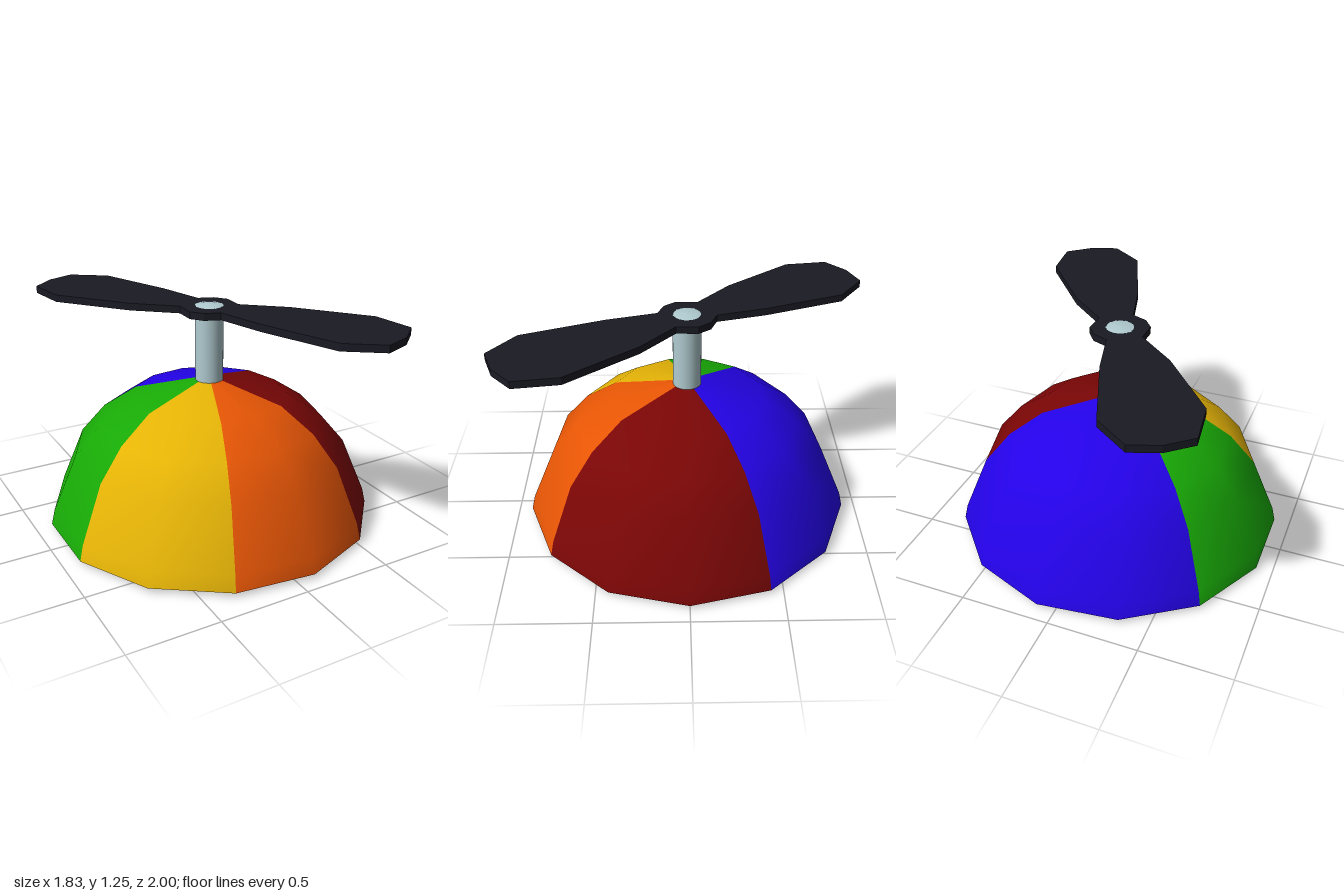
import * as THREE from 'three';

const mat = (name, color) => {
  const m = new THREE.MeshStandardMaterial({ color });
  m.name = name;
  return m;
};

const SIDES = 13;
const STEP = (Math.PI * 2) / SIDES;
const vec = ([x, y]) => new THREE.Vector2(x, y);

// Cap profiles (radius, height); separate strips keep the brim edges sharp
const PROFILES = {
  Outside: [[0.927, 0.025], [0.907, 0.11], [0.771, 0.43], [0.626, 0.6], [0.435, 0.73], [0.07, 0.82], [0, 0.825]],
  Brim: [[0.842, 0], [0.927, 0.025]],
  Lip: [[0.824, 0.03], [0.842, 0]],
  Lining: [[0, 0.735], [0.395, 0.648], [0.562, 0.533], [0.691, 0.383], [0.817, 0.082], [0.824, 0.03]],
};

// One coloured wedge of the cap, covering sides from..to (counted from +x towards +z)
function capPanel(name, material, from, to) {
  const panel = new THREE.Group();
  panel.name = name;
  for (const [part, points] of Object.entries(PROFILES)) {
    const geo = new THREE.LatheGeometry(points.map(vec), to - from, Math.PI / 2 - to * STEP, (to - from) * STEP);
    const mesh = new THREE.Mesh(geo, material);
    mesh.name = name + part;
    panel.add(mesh);
  }
  return panel;
}

export function createModel() {
  const model = new THREE.Group();
  model.name = 'propellerCap';
  model.position.x = -0.013;
  const root = new THREE.Group();
  root.add(model);

  // Cap panels
  const cap = new THREE.Group();
  cap.name = 'cap';
  cap.add(
    capPanel('redPanel', mat('red', 0x7a0606), -1, 2),
    capPanel('orangePanel', mat('orange', 0xe85605), 2, 4),
    capPanel('yellowPanel', mat('yellow', 0xe6b406), 4, 6),
    capPanel('greenPanel', mat('green', 0x18aa06), 6, 8),
    capPanel('bluePanel', mat('blue', 0x2402e8), 8, 12),
  );
  model.add(cap);

  // Shaft with a slightly domed tip
  const metal = mat('pale metal', 0xb0cbd0);
  const shaft = new THREE.Mesh(new THREE.CylinderGeometry(0.078, 0.078, 0.45, 32), metal);
  shaft.name = 'shaft';
  shaft.position.y = 1.015;
  const tip = new THREE.Mesh(
    new THREE.LatheGeometry([[0.078, 1.239], [0.05, 1.246], [0, 1.249]].map(vec), 32), metal);
  tip.name = 'shaftTip';
  model.add(shaft, tip);

  // Propeller: half of the outline (x, z), repeated by a half turn
  const half = [
    [-0.415, -1], [-0.226, -0.865], [-0.06, -0.43], [0.015, -0.158], [0.1, -0.125], [0.15, -0.06],
    [0.147, 0.06], [0.36, 0.242], [0.654, 0.6], [0.687, 0.837], [0.565, 0.945],
  ];
  const outline = [...half, ...half.map(([x, z]) => [-x, -z])];
  const shape = new THREE.Shape(outline.map(([x, z]) => new THREE.Vector2(x, -z)));
  const blades = new THREE.ExtrudeGeometry(shape, { depth: 0.04, bevelEnabled: false });
  blades.rotateX(-Math.PI / 2);
  const propeller = new THREE.Mesh(blades, mat('charcoal', 0x1a1a24));
  propeller.name = 'propeller';
  propeller.position.y = 1.2;
  model.add(propeller);

  return root;
}
